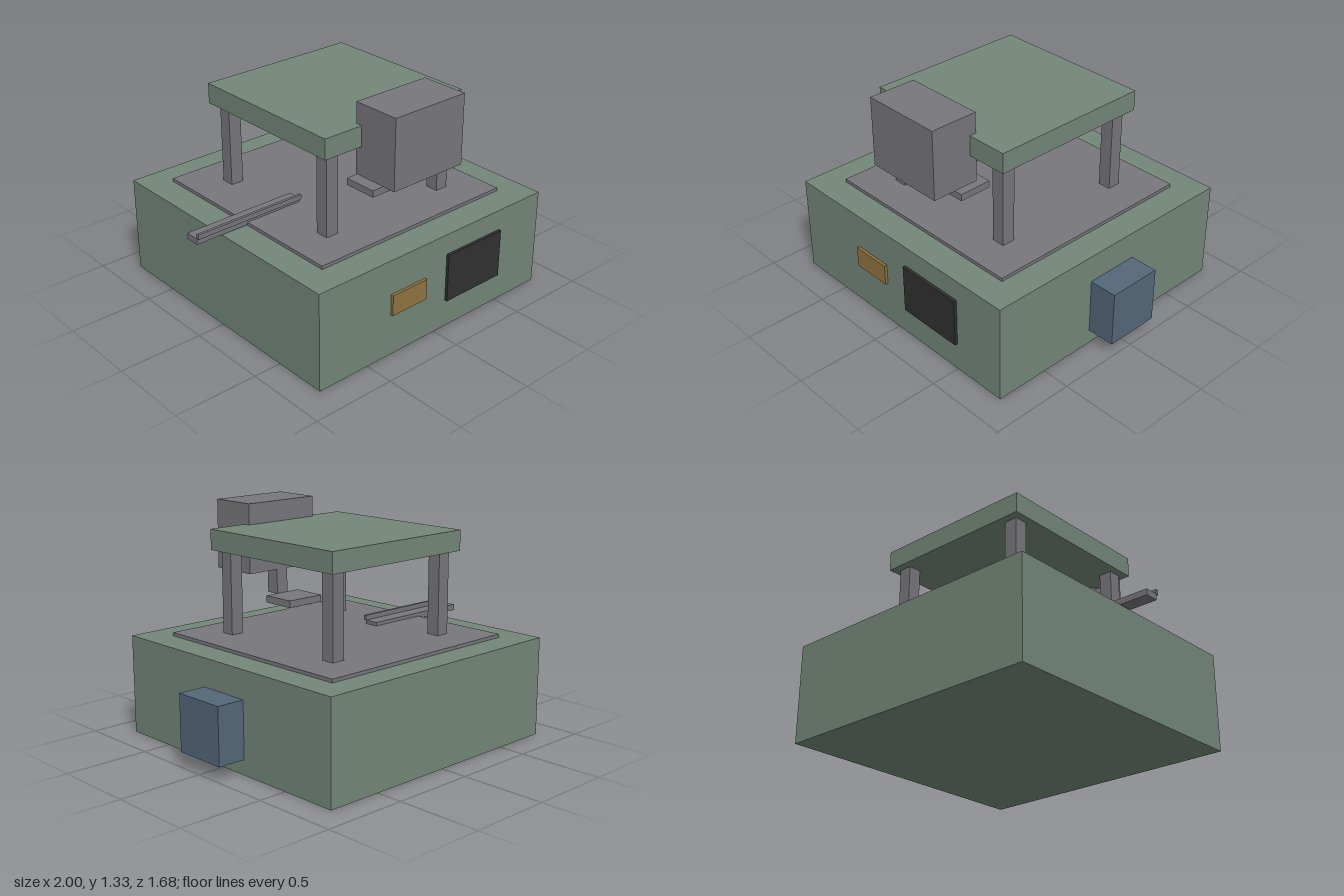
import * as THREE from 'three';

const material = (name, color) => {
  const m = new THREE.MeshStandardMaterial({ color });
  m.name = name;
  return m;
};

export function createModel() {
  const green = material('machineGreen', 0x738679);
  const steel = material('steelGrey', 0x77777c);
  const blue = material('motorBlue', 0x546779);
  const dark = material('darkPanel', 0x303030);
  const amber = material('amberPlate', 0x8f7440);

  const model = new THREE.Group();
  model.name = 'machine';

  // Box given by its [min, max] extents on each axis
  const box = (name, mat, [x0, x1], [y0, y1], [z0, z1]) => {
    const mesh = new THREE.Mesh(new THREE.BoxGeometry(x1 - x0, y1 - y0, z1 - z0), mat);
    mesh.position.set((x0 + x1) / 2, (y0 + y1) / 2, (z0 + z1) / 2);
    mesh.name = name;
    model.add(mesh);
  };

  // Base cabinet and work table
  box('base', green, [-0.832, 0.832], [0, 0.585], [-0.842, 0.825]);
  box('tablePlate', steel, [-0.665, 0.665], [0.585, 0.605], [-0.677, 0.655]);

  // Four posts carrying the top slab
  for (const x of [-0.416, 0.416]) {
    for (const z of [-0.423, 0.41]) {
      box('post', steel, [x - 0.04, x + 0.04], [0.605, 1.09], [z - 0.04, z + 0.04]);
    }
  }
  box('topSlab', green, [-0.5, 0.5], [1.09, 1.21], [-0.508, 0.492]);
  box('undersideUnit', dark, [-0.083, 0.083], [1.025, 1.09], [0.12, 0.285]);

  // Working head with stem and foot
  box('head', steel, [-0.25, 0.25], [0.92, 1.333], [0.45, 0.742]);
  box('headStem', steel, [-0.04, 0.04], [0.772, 0.92], [0.45, 0.533]);
  box('headFoot', steel, [-0.125, 0.125], [0.732, 0.774], [0.243, 0.452]);

  // Feed rail with a raised guide along its front edge
  box('feedRail', steel, [-1, -0.295], [0.59, 0.626], [-0.052, 0.034]);
  box('feedGuide', steel, [-1, -0.295], [0.626, 0.655], [0.033, 0.05]);

  // Side motor and front panels
  box('sideMotor', blue, [0.832, 1], [0.088, 0.42], [-0.175, 0.155]);
  box('controlPanel', dark, [0.08, 0.5], [0.17, 0.462], [0.825, 0.842]);
  box('namePlate', amber, [-0.335, -0.085], [0.253, 0.378], [0.825, 0.842]);

  return model;
}
